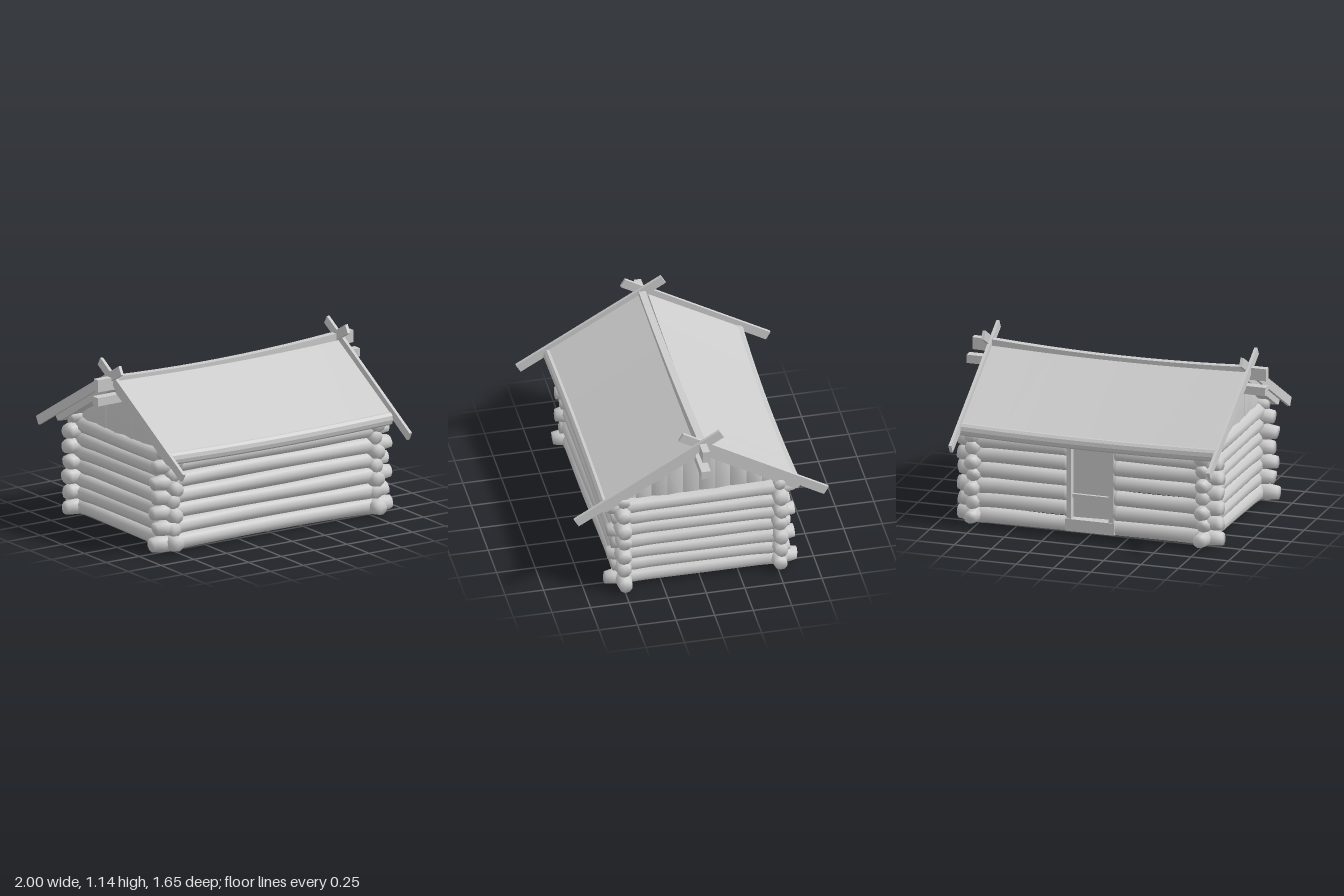
import * as THREE from 'three';
import { mergeVertices } from 'three/addons/utils/BufferGeometryUtils.js';

const material = new THREE.MeshStandardMaterial({ color: 0xcccccc, side: THREE.DoubleSide });

export function createModel() {
  const model = new THREE.Group();

  function add(name, geometry, parent = model) {
    const mesh = new THREE.Mesh(geometry, material);
    mesh.name = name;
    parent.add(mesh);
    return mesh;
  }
  function group(name) {
    const g = new THREE.Group();
    g.name = name;
    model.add(g);
    return g;
  }
  // Move every vertex of a geometry by a rule
  function warp(geometry, rule) {
    const p = geometry.attributes.position, v = new THREE.Vector3();
    for (let i = 0; i < p.count; i++) {
      rule(v.fromBufferAttribute(p, i));
      p.setXYZ(i, v.x, v.y, v.z);
    }
    geometry.computeVertexNormals();
    return geometry;
  }
  // Weld all corners so the shading runs softly over every edge
  function soften(geometry) {
    geometry.deleteAttribute('normal');
    geometry.deleteAttribute('uv');
    const welded = mergeVertices(geometry, 1e-4);
    welded.computeVertexNormals();
    return welded;
  }
  function box(name, size, pos, parent) {
    const mesh = add(name, new THREE.BoxGeometry(...size), parent);
    mesh.position.set(...pos);
    return mesh;
  }
  // Prism along x from a [z, y] outline
  function prismX(points, x0, x1, steps = 1) {
    const shape = new THREE.Shape(points.map(([z, y]) => new THREE.Vector2(z, y)));
    const geo = new THREE.ExtrudeGeometry(shape, { depth: x1 - x0, steps, bevelEnabled: false });
    return geo.rotateY(-Math.PI / 2).translate(x1, 0, 0);
  }
  // Uneven hewn log along x from a to b: free ends swell at the corner joint, then round off
  let seed = 1;
  function logGeometry(a, b, r, freeA = true, freeB = true) {
    const s = seed++ * 1.7;
    const geo = new THREE.CylinderGeometry(r, r, b - a, 9, 24).rotateZ(-Math.PI / 2).translate((a + b) / 2, 0, 0);
    const swell = d => 0.1 * Math.exp(-(((d - 0.14) / 0.06) ** 2));
    return soften(warp(geo, v => {
      const angle = Math.atan2(v.z, v.y);
      let k = 1 + 0.025 * Math.sin(v.x * 6 + s) + 0.04 * Math.sin(2 * angle + s * 3 + v.x * 3);
      if (freeA) k += swell(v.x - a);
      if (freeB) k += swell(b - v.x);
      if ((freeA && v.x < a + 0.01) || (freeB && v.x > b - 0.01)) {
        k *= 0.82;
        v.x += 0.12 * v.y * Math.sin(s * 2);
      }
      v.y = v.y * k + 0.003 * Math.sin(v.x * 4 + s);
      v.z = v.z * k + 0.004 * Math.cos(v.x * 3 + s);
    }));
  }

  // Log walls, interlocked at the corners
  const frontWall = group('frontWall'), backWall = group('backWall');
  const sideWalls = [group('rightWall'), group('leftWall')];
  for (let i = 0; i < 7; i++) {
    const top = i === 6;
    const y = top ? 0.65 : 0.06 + i * 0.1, ySide = 0.06 + i * 0.09;
    const r = top ? 0.045 : 0.053;
    const end = top ? 0.84 : i === 0 ? 0.91 : i % 2 ? 0.88 : 0.9;
    add('frontLog', logGeometry(-end, end, r), frontWall).position.set(0, y, 0.5);
    // Back logs stop either side of the doorway
    const back = Math.min(end, 0.885);
    const spans = i === 0 || top ? [[-back, back, true, true]]
      : [[-back, -0.155, true, false], [0.135, back, false, true]];
    for (const span of spans) {
      add('backLog', logGeometry(span[0], span[1], r - 0.002, span[2], span[3]), backWall).position.set(0, y, -0.515);
    }
    sideWalls.forEach((wall, k) => {
      const reach = i === 0 ? 0.62 : i % 2 ? 0.575 : 0.605;
      const log = add('sideLog', logGeometry(-reach, reach, 0.051), wall);
      log.rotation.y = Math.PI / 2;
      log.position.set(k ? 0.775 : -0.765, ySide, -0.01);
    });
  }

  // Doorway in the back wall
  const door = group('door');
  const doorX = -0.01, doorZ = -0.525;
  for (const side of [-1, 1]) box('doorPost', [0.032, 0.52, 0.085], [doorX + side * 0.142, 0.35, doorZ], door);
  box('doorLintel', [0.316, 0.03, 0.085], [doorX, 0.605, doorZ], door);
  box('doorSill', [0.33, 0.08, 0.1], [doorX, 0.065, doorZ], door);
  box('doorPanel', [0.26, 0.5, 0.015], [doorX, 0.35, doorZ + 0.015], door);
  box('doorRail', [0.26, 0.025, 0.025], [doorX, 0.25, doorZ], door);

  // Vertical gable planks cut to the roof slope
  const slope = 0.575;
  for (const side of [-1, 1]) {
    const gable = group(side < 0 ? 'rightGable' : 'leftGable');
    const count = 10, w = 0.102;
    for (let i = 0; i < count; i++) {
      const z0 = (i - count / 2) * w, z1 = z0 + w;
      const top = z => 0.975 - slope * Math.abs(z);
      const lean = 0.008 * Math.sin(i * 2.3 + side);
      const plank = prismX([[z0, 0.6], [z1, 0.6], [z1, top(z1)], [z0, top(z0)]], -0.011, 0.011);
      warp(plank, v => { v.x += lean * (v.z - z0) / w * 2 - lean; });
      add('gablePlank', soften(plank), gable).position.x = side * 0.77;
    }
  }

  // Sagging roof slopes with a rolled eave
  const sag = x => 1 - Math.min(1, (x / 0.85) ** 2);
  for (const side of [1, -1]) {
    const outline = [[0.03, 1.02], [0.612, 0.685], [0.63, 0.685], [0.645, 0.668], [0.65, 0.642],
      [0.643, 0.617], [0.625, 0.604], [0.6, 0.61], [0.03, 0.945]].map(([z, y]) => [z * side, y]);
    const roof = warp(prismX(outline, -0.865, 0.835, 12), v => {
      v.y -= 0.018 * sag(v.x);
      v.z *= 1 - 0.02 * sag(v.x);
    });
    add(side > 0 ? 'frontRoof' : 'backRoof', roof);
  }

  // Ridge pole following the sag, and the beam under it
  const ridge = new THREE.BoxGeometry(1.96, 0.08, 0.046, 12, 1, 1).translate(-0.02, 0, 0);
  add('ridgePole', warp(ridge, v => {
    v.y += 1.015 + 0.008 * v.x - 0.028 * sag(v.x);
    v.z -= 0.01 * v.x;
  }));
  const beam = box('ridgeBeam', [2, 0.055, 0.06], [0, 0.907, 0]);
  beam.rotation.z = 0.006;

  // Crossed barge boards at both gable ends
  const tilt = Math.atan2(0.55, 0.942);
  for (const [end, frontX, backX] of [['right', -0.874, -0.888], ['left', 0.853, 0.839]]) {
    const boards = group(end + 'BargeBoards');
    for (const side of [1, -1]) {
      const board = box('bargeBoard', [0.02, 0.06, 1.09], [side > 0 ? frontX : backX, 0.842, side * 0.341], boards);
      board.rotation.x = side * tilt;
    }
  }
  return model;
}
